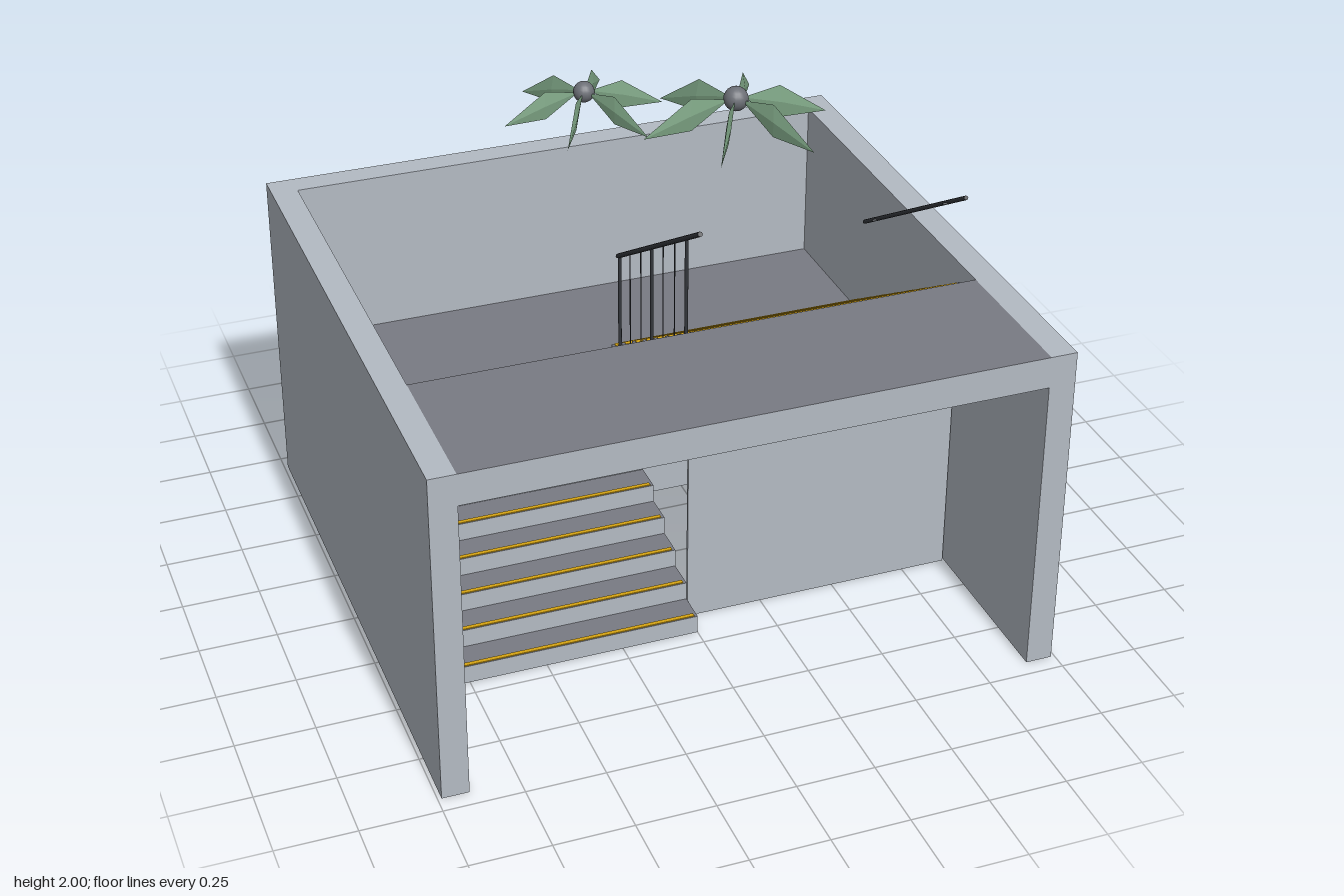
import * as THREE from 'three';

const material = (name, color, side = THREE.FrontSide) => {
  const m = new THREE.MeshStandardMaterial({ color, side });
  m.name = name;
  return m;
};

export function createModel() {
  const model = new THREE.Group();
  model.name = 'stairwell';

  const concrete = material('concrete', 0xb3bac3);
  const floor = material('floor', 0x797b83);
  const yellow = material('safety yellow', 0xd6a412);
  const metal = material('dark metal', 0x34373c);
  const stone = material('stone', 0x6c6f76);
  const leafGreen = material('leaf green', 0x7fa686, THREE.DoubleSide);
  const floorTop = [concrete, concrete, floor, concrete, concrete, concrete];

  // Box from its lower and upper bounds
  function box(name, mat, x0, x1, y0, y1, z0, z1, parent = model) {
    const mesh = new THREE.Mesh(new THREE.BoxGeometry(x1 - x0, y1 - y0, z1 - z0), mat);
    mesh.position.set((x0 + x1) / 2, (y0 + y1) / 2, (z0 + z1) / 2);
    mesh.name = name;
    parent.add(mesh);
    return mesh;
  }

  // Round bar between two points
  function bar(name, a, b, radius, parent) {
    const from = new THREE.Vector3(...a), to = new THREE.Vector3(...b);
    const dir = to.clone().sub(from);
    const mesh = new THREE.Mesh(new THREE.CylinderGeometry(radius, radius, dir.length(), 8), metal);
    mesh.position.copy(from).add(to).multiplyScalar(0.5);
    mesh.quaternion.setFromUnitVectors(new THREE.Vector3(0, 1, 0), dir.normalize());
    mesh.name = name;
    parent.add(mesh);
  }

  const W = 0.988, IN = 0.903, D = 0.945, H = 1.1;
  const FRONT = 0.445, BACK = -0.36, STEPS = 8;
  const RISE = 0.0611, TREAD = (FRONT - BACK) / STEPS, LANDING = 0.55;

  // Walls, upper floor and half landing
  box('leftWall', concrete, IN, W, 0, H, -D, D);
  box('rightWall', concrete, -W, -IN, 0, H, -D, D);
  box('backWall', concrete, -IN, IN, 0, H, -D, -0.86);
  box('upperFloor', floorTop, -IN, IN, 0.997, H, FRONT, D);
  box('landing', floorTop, -IN, IN, 0, LANDING, -0.86, BACK);

  // Lower flight: solid steps climbing to the back
  const lower = new THREE.Group();
  lower.name = 'lowerFlight';
  model.add(lower);
  for (let i = 0; i < STEPS; i++) {
    const z = FRONT - i * TREAD, y = (i + 1) * RISE;
    box('lowerStep', floorTop, -IN, 0, 0, y, z - TREAD, z, lower);
    box('lowerNosing', yellow, -0.893, -0.01, y, y + 0.003, z - 0.017, z - 0.003, lower);
  }

  // Upper flight: open-bottomed steps climbing to the front
  const upper = new THREE.Group();
  upper.name = 'upperFlight';
  model.add(upper);
  for (let i = 0; i < STEPS; i++) {
    const z = BACK + i * TREAD, y = LANDING + (i + 1) * RISE;
    box('upperStep', floorTop, 0, IN, y - 0.085, y, z, z + TREAD, upper);
    box('upperNosing', yellow, 0.01, 0.89, y, y + 0.003, z + 0.002, z + 0.016, upper);
  }
  box('underStairWall', concrete, 0, 0.897, 0, 0.955, 0.343, 0.353);

  // Wall handrails with brackets
  const slope = RISE / TREAD;
  function wallRail(name, x, height) {
    const rail = new THREE.Group();
    rail.name = name;
    model.add(rail);
    const s = Math.sign(x), dir = s;
    const yAt = z => height(z);
    bar('handrail', [x, yAt(0.4), 0.4], [x, yAt(-0.31), -0.31], 0.007, rail);
    for (const z of [0.285, -0.21]) {
      bar('bracket', [x, yAt(z) - 0.004, z], [x - dir * 0.02, yAt(z) - 0.004, z], 0.004, rail);
    }
  }
  wallRail('lowerHandrail', -0.876, z => 0.39 + (0.4 - z) * slope);
  wallRail('upperHandrail', 0.876, z => 1.365 - (0.4 - z) * slope);

  // Central balustrade
  const balustrade = new THREE.Group();
  balustrade.name = 'balustrade';
  model.add(balustrade);
  const railY = z => 1.398 - (0.4 - z) * slope;
  const treadY = z => LANDING + (Math.floor((z - BACK) / TREAD) + 1) * RISE;
  bar('topRail', [0.013, railY(0.4), 0.4], [0.013, railY(-0.325), -0.325], 0.008, balustrade);
  for (let i = 0; i < 7; i++) {
    const z = 0.29 - i * 0.1;
    bar(i % 3 ? 'picket' : 'post', [0.013, treadY(z), z], [0.013, railY(z), z], i % 3 ? 0.002 : 0.006, balustrade);
  }

  // Leaf: thin four-cornered blade, slightly swollen in the middle
  const leaf = new THREE.BufferGeometry();
  const rim = [[0.02, 0], [0.13, 0.02], [0.27, -0.08], [0.13, -0.077]];
  const points = [];
  rim.forEach((p, i) => {
    const q = rim[(i + 1) % 4];
    points.push(...p, 0, 0.135, -0.03, 0.007, ...q, 0);
    points.push(...q, 0, 0.135, -0.03, -0.007, ...p, 0);
  });
  // Reverse the winding so every face points outward
  for (let i = 0; i < points.length; i += 9) {
    for (let k = 0; k < 3; k++) [points[i + k], points[i + 6 + k]] = [points[i + 6 + k], points[i + k]];
  }
  for (let i = 0; i < points.length; i += 9) {
    const a = points.slice(i, i + 9);
    const area = (a[3] - a[0]) * (a[7] - a[1]) - (a[4] - a[1]) * (a[6] - a[0]);
    const side = a[2] + a[5] + a[8];
    if (area * side < 0) for (let k = 0; k < 3; k++) { points[i + k] = a[6 + k]; points[i + 6 + k] = a[k]; }
  }
  leaf.setAttribute('position', new THREE.Float32BufferAttribute(points, 3));
  leaf.computeVertexNormals();

  // Two hanging plants: a round core with six radial leaves
  for (const [y, z] of [[1.965, 0.69], [1.418, -0.61]]) {
    const plant = new THREE.Group();
    plant.name = 'plant';
    plant.position.set(0, y, z);
    const core = new THREE.Mesh(new THREE.SphereGeometry(0.035, 16, 12), stone);
    core.name = 'plantCore';
    plant.add(core);
    for (let i = 0; i < 6; i++) {
      const blade = new THREE.Mesh(leaf, leafGreen);
      blade.name = 'leaf';
      blade.rotation.y = i * Math.PI / 3;
      plant.add(blade);
    }
    model.add(plant);
  }
  return model;
}
